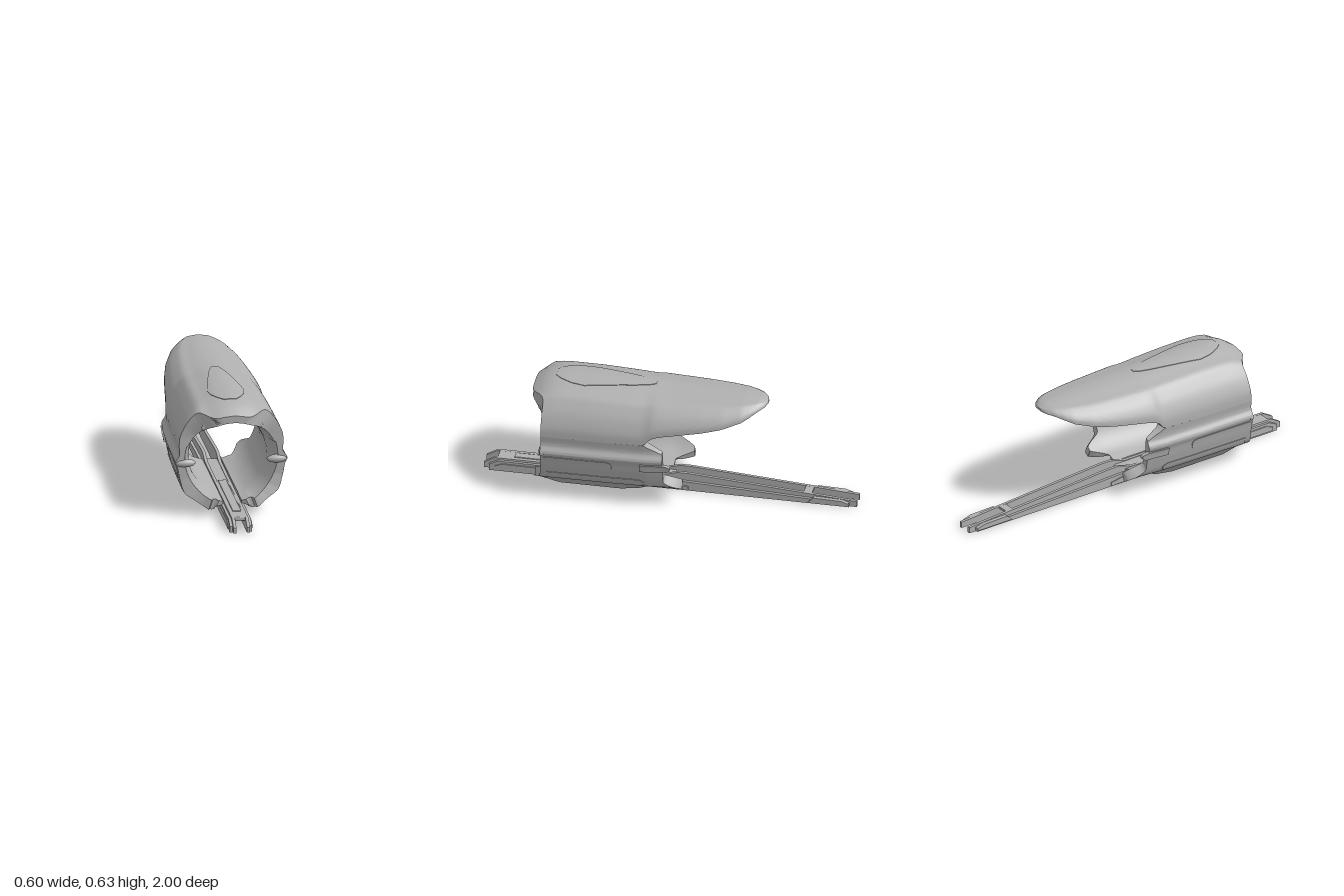
import * as THREE from 'three';
import { toCreasedNormals } from 'three/addons/utils/BufferGeometryUtils.js';
import { RoundedBoxGeometry } from 'three/addons/geometries/RoundedBoxGeometry.js';

const lerp = THREE.MathUtils.lerp;
const clamp = THREE.MathUtils.clamp;

// Piecewise-linear lookup in [key, value] pairs
function look(table, k) {
  if (k <= table[0][0]) return table[0][1];
  for (let i = 1; i < table.length; i++) {
    const [k0, v0] = table[i - 1], [k1, v1] = table[i];
    if (k <= k1) return lerp(v0, v1, (k - k0) / (k1 - k0));
  }
  return table[table.length - 1][1];
}

const spline = (pts) => new THREE.SplineCurve(pts.map(([x, y]) => new THREE.Vector2(x, y)));

// Closed thick surface between outer(u, v) and inner(u, v)
function shell(outer, inner, u0, u1, nu, nv, flip = false) {
  const pos = [], idx = [], L = 2 * (nu + 1);
  for (let i = 0; i <= nv; i++) {
    for (let j = 0; j <= nu; j++) pos.push(...outer(lerp(u0, u1, j / nu), i / nv));
    for (let j = nu; j >= 0; j--) pos.push(...inner(lerp(u0, u1, j / nu), i / nv));
  }
  const quad = (a, b, c, d) => (flip ? idx.push(a, c, b, a, d, c) : idx.push(a, b, c, a, c, d));
  for (let i = 0; i < nv; i++) {
    for (let j = 0; j < L; j++) {
      const k = (j + 1) % L;
      quad(i * L + j, (i + 1) * L + j, (i + 1) * L + k, i * L + k);
    }
  }
  // end faces
  const f = nv * L;
  for (let j = 0; j < nu; j++) {
    quad(f + j, f + L - 1 - j, f + L - 2 - j, f + j + 1);
    quad(j, j + 1, L - 2 - j, L - 1 - j);
  }
  const g = new THREE.BufferGeometry();
  g.setAttribute('position', new THREE.Float32BufferAttribute(pos, 3));
  g.setIndex(idx);
  return toCreasedNormals(g, 0.6);
}

// Upper hood: half width, top height, lower edge height along z
const hoodW = [[-0.52, 0.01], [-0.51, 0.05], [-0.48, 0.09], [-0.44, 0.13], [-0.4, 0.16], [-0.3, 0.2],
  [-0.2, 0.222], [-0.1, 0.237], [0, 0.25], [0.1, 0.262], [0.3, 0.271], [0.65, 0.278]];
const hoodTop = [[-0.52, 0.585], [-0.48, 0.6], [-0.4, 0.607], [0, 0.612], [0.2, 0.622], [0.4, 0.628], [0.6, 0.625], [0.65, 0.618]];
const hoodEdge = [[-0.52, 0.57], [-0.48, 0.56], [-0.4, 0.52], [-0.3, 0.49], [-0.2, 0.47], [-0.1, 0.455],
  [0, 0.44], [0.05, 0.428], [0.08, 0.41], [0.1, 0.38]];
const boreW = [[-0.52, 0.005], [-0.48, 0.06], [-0.4, 0.13], [-0.3, 0.17], [-0.2, 0.195], [0, 0.215],
  [0.1, 0.2], [0.3, 0.185], [0.52, 0.185], [0.65, 0.23]];
const boreTop = [[-0.52, 0.575], [-0.48, 0.58], [-0.4, 0.578], [-0.1, 0.565], [0, 0.555], [0.1, 0.525],
  [0.3, 0.5], [0.5, 0.5], [0.65, 0.528]];
const hoodSection = spline([[0, 1], [0.22, 0.97], [0.45, 0.89], [0.62, 0.825], [0.75, 0.68], [0.88, 0.48], [0.98, 0.22], [1, 0]]);
const ARC = 1.113;

// Pushes the middle of the front edge forward and down into a visor
function visor(x, y, z, fall) {
  const k = 1 - THREE.MathUtils.smoothstep(Math.abs(x), 0.07, 0.21);
  const s = clamp((z - 0.5) / 0.15, 0, 1);
  return [x, y - fall * k * s ** 3, z + 0.08 * k * s];
}
function hoodOuter(t, z) {
  const p = hoodSection.getPoint(Math.abs(t));
  const e = look(hoodEdge, z);
  return visor(Math.sign(t) * p.x * look(hoodW, z), e + (look(hoodTop, z) - e) * p.y, z, 0.055);
}
function hoodInner(t, z) {
  const a = t * ARC, e = look(hoodEdge, z);
  const h = (Math.cos(a) - Math.cos(ARC)) / (1 - Math.cos(ARC));
  return visor(look(boreW, z) * Math.sin(a) / Math.sin(ARC), e + (look(boreTop, z) - e) * h, z, 0.005);
}

// Lower side: profile from the waist down to the foot and the rail
const sideSection = spline([[0.278, 0.38], [0.276, 0.33], [0.297, 0.292], [0.285, 0.255], [0.272, 0.19], [0.248, 0.12],
  [0.19, 0.08], [0.143, 0.035], [0.12, 0.009], [0.1, 0.009], [0.087, 0.04], [0.05, 0.055]]);
const sideScale = [[0, 0.9], [0.1, 0.945], [0.3, 0.975], [0.65, 1]];
const sideBack = [[0, 0.1], [0.3, 0.085], [0.6, 0.05], [1, 0.005], [1.4, 0], [4.6, 0], [5.2, -0.06], [5.6, -0.09], [6.2, -0.09], [7, -0.03], [8, 0]];
const sideFront = [[0, 0.65], [4, 0.65], [5, 0.66], [6, 0.68], [7, 0.705], [7.5, 0.71], [8, 0.68], [9, 0.68], [10, 0.69], [11, 0.68]];
const footLift = [[-0.1, 0.09], [0, 0.08], [0.15, 0.015], [0.25, 0], [0.58, 0], [0.69, 0.03]];
const footWeight = [[6, 0], [7, 0.5], [8, 1], [9, 1], [10, 0.3], [11, 0]];
// bore angle that faces each profile point
const boreAngle = [[0, ARC], [1, 1.34], [2, 1.53], [3, 1.7], [4, 1.9], [5, 2.15], [6, 2.38], [7, 2.56], [8, 2.66], [9, 2.73], [10, 2.8], [11, 2.91]];

function sideOuter(k, z, s) {
  const p = sideSection.getPoint(k / 11);
  return [s * p.x * look(sideScale, z), p.y + look(footLift, z) * look(footWeight, k), z];
}
function sideInner(k, z, s) {
  const a = look(boreAngle, k);
  const r = lerp(look(boreW, z) / Math.sin(ARC), 0.215, Math.min(1, k / 9));
  return [s * r * Math.sin(a), 0.285 + r * Math.cos(a), z];
}

// Side outline in (z, y), extruded from x0 to x1
function slab(pts, x0, x1) {
  const shape = new THREE.Shape(pts.map(([z, y]) => new THREE.Vector2(z, y)));
  const g = new THREE.ExtrudeGeometry(shape, { depth: x1 - x0, bevelEnabled: false });
  return g.rotateY(-Math.PI / 2).translate(x1, 0, 0);
}

export function createModel() {
  const model = new THREE.Group();
  const grey = new THREE.MeshStandardMaterial({ color: 0xb0b0b0 });
  const add = (name, geometry, x = 0, y = 0, z = 0) => {
    const m = new THREE.Mesh(geometry, grey);
    m.name = name;
    m.position.set(x, y, z);
    model.add(m);
    return m;
  };

  // Hood with visor, and its raised teardrop panel
  const hz = (v) => -0.52 + 1.17 * v ** 1.3;
  add('hood', shell((t, v) => hoodOuter(t, hz(v)), (t, v) => hoodInner(t, hz(v)), -1, 1, 64, 64));
  const drop = [[0, 0.04], [0.04, 0.07], [0.2, 0.12], [0.5, 0.18], [0.75, 0.225], [0.88, 0.2], [0.95, 0.15], [1, 0.08]];
  const panel = (dy) => (t, v) => {
    const [x, y, z] = hoodOuter(t * look(drop, v), lerp(0.08, 0.575, v));
    return [x, y + dy, z];
  };
  add('teardropPanel', shell(panel(0.003), panel(-0.004), -1, 1, 16, 24));

  for (const s of [1, -1]) {
    const side = s > 0 ? 'left' : 'right';
    const sz = (k, v) => lerp(look(sideBack, k), look(sideFront, k), v);
    add(side + 'Side', shell((k, v) => sideOuter(k, sz(k, v), s), (k, v) => sideInner(k, sz(k, v), s), 0, 11, 66, 30, s < 0));

    // Plates that follow the side surface
    const plate = (name, k0, k1, z0, z1, out) => {
      const at = (d) => (k, v) => {
        const q = Math.abs((k - k0) / (k1 - k0) * 2 - 1);
        const [x, y, z] = sideOuter(k, lerp(z0 + 0.03 * q ** 3, z1, v), s);
        return [x + s * d, y, z];
      };
      add(side + name, shell(at(out), at(-0.012), k0, k1, 10, 12, s < 0));
    };
    plate('SidePanel', 2.75, 4, 0.27, 0.635, 0.004);
    plate('RearLatch', 2.7, 3.5, -0.04, 0.12, 0.01);
    plate('LowerRib', 4.4, 5.1, 0.1, 0.62, 0.004);

    // Front lug on the waist and prong under the visor
    const lug = add(side + 'FrontLug', new THREE.SphereGeometry(1, 20, 12), s * 0.245, 0.284, 0.64);
    lug.scale.set(0.056, 0.022, 0.024);
    const prong = add(side + 'VisorProng', new RoundedBoxGeometry(0.026, 0.045, 0.05, 3, 0.01), s * 0.146, 0.495, 0.66);
    prong.rotation.z = s * 0.45;

    // Rail: tall inner wall, lower outer strip and rear clamp
    const bar = (name, pts, x0, x1) => add(side + name, slab(pts.reverse(), s > 0 ? x0 : -x1, s > 0 ? x1 : -x0));
    bar('RailWall', [[1, 0.005], [1, 0.035], [0.94, 0.07], [0.05, 0.074], [-0.04, 0.1], [-0.1, 0.1],
      [-0.8, 0.052], [-1, 0.038], [-1, 0.005]], 0.028, 0.044);
    bar('RailStrip', [[0.97, 0], [0.97, 0.035], [0.92, 0.06], [0, 0.06], [-0.74, 0.034], [-0.96, 0.03], [-0.96, 0.008]], 0.043, 0.059);
    bar('RailRim', [[0.94, 0.01], [0.94, 0.03], [0.9, 0.046], [0, 0.046], [-0.1, 0.03], [-0.1, 0.01]], 0.058, 0.065);
    bar('RearClamp', [[-0.74, 0.015], [-0.77, 0.045], [-0.92, 0.042], [-0.96, 0.028], [-0.96, 0.015]], 0.043, 0.065);
  }

  // Rail deck, its raised rib and the rear cross bar
  add('railDeck', new RoundedBoxGeometry(0.09, 0.024, 0.95, 2, 0.006), 0, 0.058, 0.455);
  add('deckRib', new RoundedBoxGeometry(0.045, 0.012, 0.5, 2, 0.004), 0, 0.069, 0.59);
  add('crossBar', new THREE.BoxGeometry(0.06, 0.012, 0.045), 0, 0.05, -0.735);
  return model;
}
